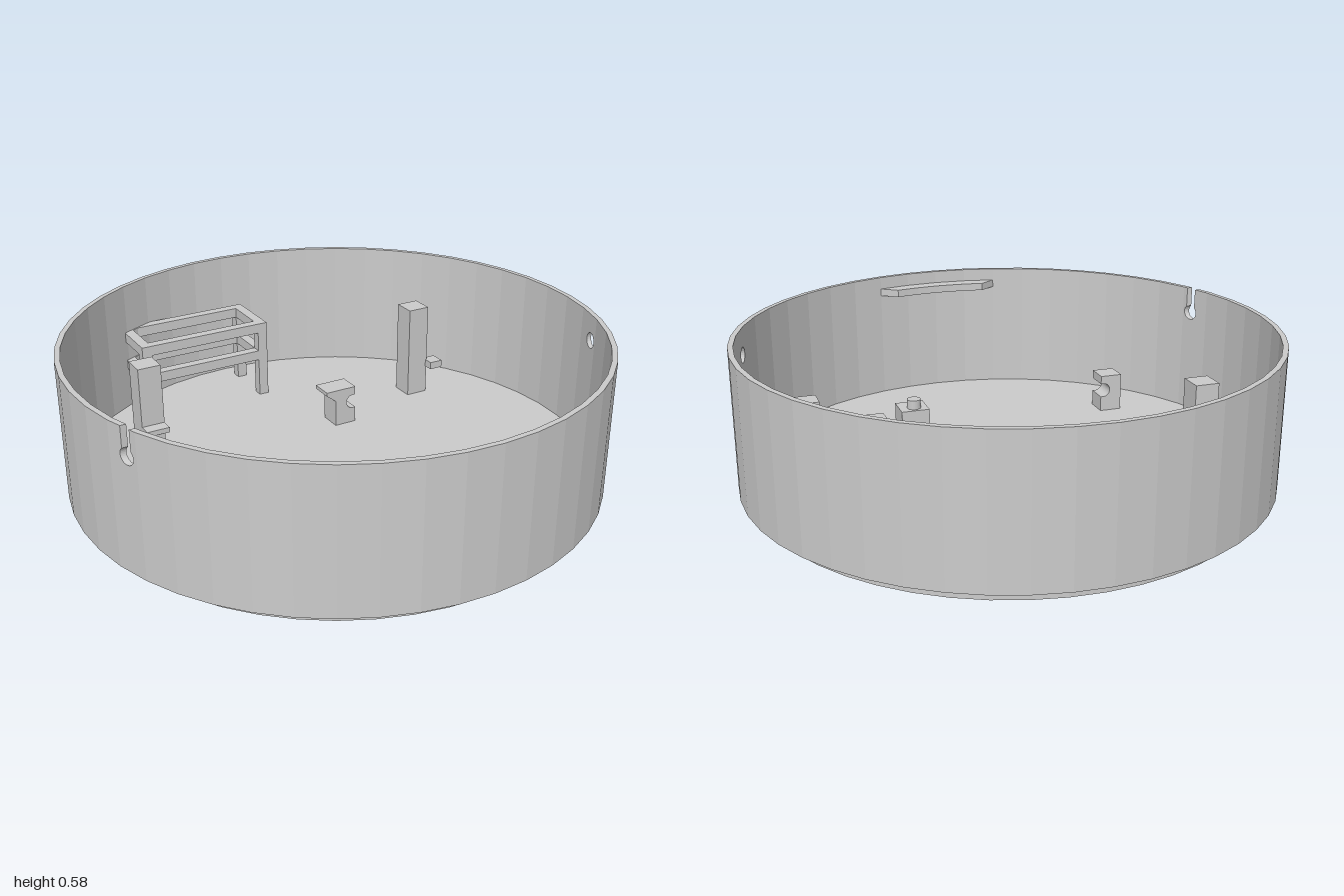
import * as THREE from 'three';

const material = new THREE.MeshStandardMaterial({ color: 0xcccccc, flatShading: true });
const SIDES = 48, STEP = (Math.PI * 2) / SIDES;
const R_OUT = 1, R_IN = 0.98, TOP = 0.585, STEP_Y = 0.05, FLOOR = 0.07;

export function createModel() {
  const model = new THREE.Group();
  model.name = 'roundCase';

  const add = (name, geometry, parent = model) => {
    const mesh = new THREE.Mesh(geometry, material);
    mesh.name = name;
    parent.add(mesh);
    return mesh;
  };
  const group = (name) => {
    const g = new THREE.Group();
    g.name = name;
    model.add(g);
    return g;
  };
  // Box given by its limits
  const box = (name, x0, x1, y0, y1, z0, z1, parent) => {
    const g = new THREE.BoxGeometry(x1 - x0, y1 - y0, z1 - z0);
    g.translate((x0 + x1) / 2, (y0 + y1) / 2, (z0 + z1) / 2);
    return add(name, g, parent);
  };
  const pts = (list) => list.map(([x, y]) => new THREE.Vector2(x, y));
  const extrude = (shape, depth) =>
    new THREE.ExtrudeGeometry(shape, { depth, bevelEnabled: false, curveSegments: 12 });
  // Plan outline in (x, z), extruded upward from y0 to y1
  const slab = (outline, hole, y0, y1) => {
    const flip = (l) => pts(l.map(([x, z]) => [x, -z]));
    const shape = new THREE.Shape(flip(outline));
    if (hole) shape.holes.push(new THREE.Path(flip(hole)));
    return extrude(shape, y1 - y0).rotateX(-Math.PI / 2).translate(0, y0, 0);
  };

  // Floor with stepped foot ring and recessed underside
  add('floorAndFoot', new THREE.LatheGeometry(pts([
    [0, STEP_Y], [0.92, STEP_Y], [0.92, 0], [0.94, 0], [0.94, STEP_Y], [R_OUT, STEP_Y],
  ]), SIDES));
  add('floorTop', new THREE.LatheGeometry(pts([[R_IN, FLOOR], [0, FLOOR]]), SIDES));

  // Plain wall: front and back arcs, leaving one facet open on each side
  const wall = pts([[R_OUT, STEP_Y], [R_OUT, TOP], [R_IN, TOP], [R_IN, FLOOR]]);
  add('frontWall', new THREE.LatheGeometry(wall, 18, -9 * STEP, 18 * STEP));
  add('backWall', new THREE.LatheGeometry(wall, 28, 10 * STEP, 28 * STEP));

  // Pierced wall facets; the slotted one is open up to the rim
  const piercedFacet = (name, side, slotted) => {
    const z0 = Math.sin(2 * STEP), z1 = Math.sin(3 * STEP), mid = 2.5 * STEP;
    const cz = 0.337, cy = 0.485, r = 0.03, w = 0.02;
    const shape = new THREE.Shape();
    shape.moveTo(z0, STEP_Y);
    shape.lineTo(z1, STEP_Y);
    shape.lineTo(z1, TOP);
    if (slotted) {
      const a = Math.acos(w / r);
      shape.lineTo(cz + w, TOP);
      shape.absarc(cz, cy, r, a, Math.PI - a, true);
      shape.lineTo(cz - w, TOP);
    }
    shape.lineTo(z0, TOP);
    if (!slotted) shape.holes.push(new THREE.Path().absarc(cz, cy, r, 0, Math.PI * 2, true));
    const g = extrude(shape, 1), p = g.attributes.position;
    for (let i = 0; i < p.count; i++) {
      let z = p.getX(i);
      const outer = (p.getZ(i) > 0.5) === (side < 0);
      const R = outer ? R_OUT : R_IN;
      if (Math.abs(z - z0) < 1e-5 || Math.abs(z - z1) < 1e-5) z *= R;
      const x = (R * Math.cos(STEP / 2) - z * Math.sin(mid)) / Math.cos(mid);
      p.setXYZ(i, side * x, p.getY(i), z);
    }
    g.computeVertexNormals();
    add(name, g);
  };
  piercedFacet('holeFacet', 1, false);
  piercedFacet('slotFacet', -1, true);

  // Open rack against the back wall, its far corner trimmed by the wall
  const rack = group('rack');
  const rackOutline = [[-0.5, -0.66], [0.05, -0.66], [0.05, -0.91], [-0.39, -0.91], [-0.44, -0.88], [-0.5, -0.85]];
  const rackHole = [[-0.46, -0.7], [0.01, -0.7], [0.01, -0.87], [-0.435, -0.87], [-0.46, -0.857]];
  add('upperFrame', slab(rackOutline, rackHole, 0.35, 0.39), rack);
  add('lowerFrame', slab(rackOutline, rackHole, 0.23, 0.27), rack);
  for (const [x, z] of [[-0.5, -0.7], [0.01, -0.7], [0.01, -0.91]])
    box('rackLeg', x, x + 0.04, FLOOR, 0.36, z, z + 0.04, rack);

  // Tall posts with small ledges
  const leftPost = group('postWithLedge');
  box('post', -0.64, -0.55, FLOOR, 0.45, -0.43, -0.34, leftPost);
  const ledge = new THREE.Shape(pts([[0.345, 0.165], [0.345, 0.215], [0.29, 0.215], [0.29, 0.195]]));
  add('ledge', extrude(ledge, 0.09).rotateY(Math.PI / 2).translate(-0.64, 0, 0), leftPost);
  const rightPost = group('postWithCornerLedge');
  box('post', 0.55, 0.64, FLOOR, 0.45, -0.43, -0.34, rightPost);
  add('cornerLedge', slab([[0.64, -0.36], [0.69, -0.36], [0.69, -0.3], [0.635, -0.3], [0.635, -0.34], [0.64, -0.34]], null, 0.185, 0.215), rightPost);

  // Short blocks with a rounded groove along z; dir is the side the groove opens to
  const groovedBlock = (name, x, z, dir, overhang) => {
    const h = 0.045, top = 0.222, gy = 0.16, r = 0.028;
    const s = new THREE.Shape();
    s.moveTo(-h, FLOOR);
    s.lineTo(h, FLOOR);
    s.lineTo(h, gy - r);
    s.absarc(h - 0.012, gy, r, -Math.PI / 2, Math.PI / 2, true);
    s.lineTo(h, gy + r);
    s.lineTo(h, top);
    if (overhang) {
      s.lineTo(-h - overhang, top);
      s.lineTo(-h - overhang, top - 0.015);
      s.lineTo(-h, top - 0.045);
    } else s.lineTo(-h, top);
    const g = extrude(s, 0.09).translate(0, 0, -0.045);
    if (dir < 0) g.rotateY(Math.PI);
    add(name, g.translate(x, 0, z));
  };
  groovedBlock('centreGroovedBlock', 0.185, -0.287, 1, 0.04);
  groovedBlock('rightGroovedBlock', 0.67, 0.515, -1, 0);
  groovedBlock('leftGroovedBlock', -0.597, 0.445, 1, 0);

  // Block with round peg
  const pegBlock = group('pegBlock');
  box('pegBase', 0.185, 0.3, FLOOR, 0.15, 0.44, 0.555, pegBlock);
  add('peg', new THREE.CylinderGeometry(0.028, 0.028, 0.045, 20).translate(0.24, 0.165, 0.48), pegBlock);

  // Curved lip inside the front wall
  const lip = [];
  for (let i = -4; i <= 4; i++) {
    const a = (i / 4) * 0.207;
    lip.push([Math.sin(a) * 0.92, Math.cos(a) * 0.92]);
  }
  for (let i = 4; i >= -4; i--) {
    const a = (i / 4) * 2 * STEP;
    lip.push([Math.sin(a) * 0.98, Math.cos(a) * 0.98]);
  }
  add('frontLip', slab(lip, null, 0.505, 0.535));

  return model;
}
